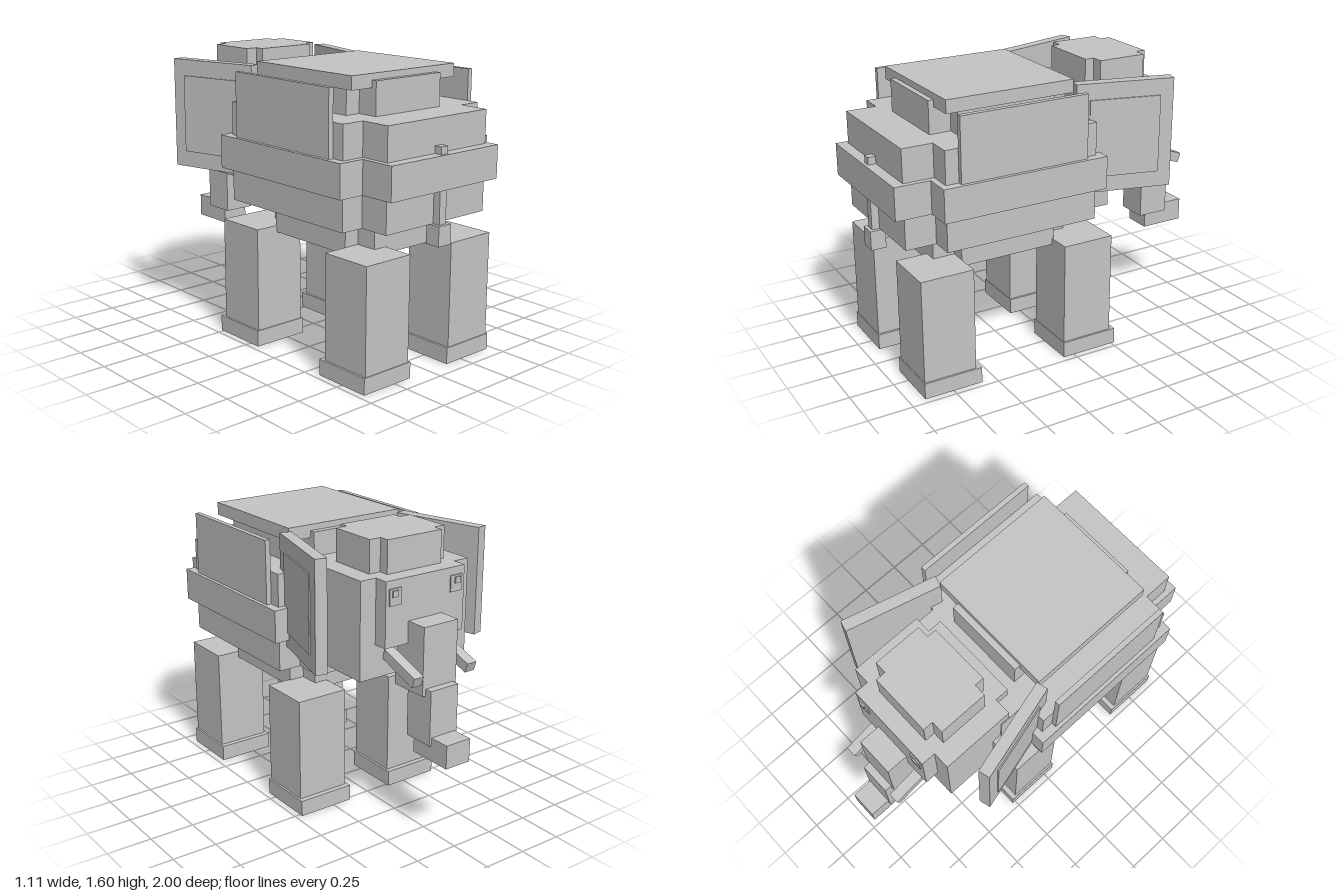
import * as THREE from 'three';

export function createModel() {
  const model = new THREE.Group();
  model.name = 'elephant';
  const grey = new THREE.MeshStandardMaterial({ color: 0xc4c4c4 });
  grey.name = 'grey';

  // box given by its ranges along each axis
  const block = (name, [x0, x1], [y0, y1], [z0, z1], parent = model) => {
    const mesh = new THREE.Mesh(new THREE.BoxGeometry(x1 - x0, y1 - y0, z1 - z0), grey);
    mesh.position.set((x0 + x1) / 2, (y0 + y1) / 2, (z0 + z1) / 2);
    mesh.name = name;
    parent.add(mesh);
    return mesh;
  };
  const centred = (name, halfWidth, y, z) => block(name, [-halfWidth, halfWidth], y, z);
  // two crossing boxes: a long narrow one and a short wide one
  const cross = (name, y, narrow, zLong, wide, zShort) => {
    centred(name + 'Long', narrow, y, zLong);
    centred(name + 'Wide', wide, y, zShort);
  };
  // box on one side (s = 1 left, -1 right)
  const sided = (name, s, [x0, x1], y, z, parent) =>
    block(name, s > 0 ? [x0, x1] : [-x1, -x0], y, z, parent);

  // body
  cross('body', [0.81, 1.35], 0.355, [-0.275, 0.94], 0.485, [-0.105, 0.77]);
  cross('girth', [0.99, 1.17], 0.385, [-0.33, 1.0], 0.533, [-0.145, 0.803]);
  cross('belly', [0.63, 0.81], 0.23, [-0.065, 0.733], 0.318, [0.05, 0.61]);

  // back hump and the slab on it
  centred('humpLong', 0.23, [1.35, 1.528], [-0.07, 0.73]);
  centred('humpWide', 0.318, [1.35, 1.5], [0.05, 0.61]);
  centred('backSlab', 0.367, [1.49, 1.562], [-0.035, 0.7]);

  // head and crown
  centred('headWide', 0.35, [0.89, 1.42], [-0.635, -0.22]);
  centred('headLong', 0.255, [1.07, 1.42], [-0.715, -0.14]);
  cross('crown', [1.42, 1.597], 0.175, [-0.622, -0.232], 0.243, [-0.565, -0.285]);

  // trunk
  centred('trunkTop', 0.11, [0.82, 1.19], [-0.84, -0.62]);
  centred('trunkMiddle', 0.09, [0.555, 0.858], [-0.882, -0.7]);
  centred('trunkTip', 0.078, [0.47, 0.6], [-1.0, -0.743]);

  // tail
  centred('tail', 0.024, [0.75, 1.21], [0.935, 0.982]);
  centred('tailTuft', 0.045, [0.703, 0.81], [0.915, 1.0]);

  for (const s of [1, -1]) {
    // legs and feet
    for (const [end, z] of [['front', -0.09], ['back', 0.76]]) {
      sided(end + 'Leg', s, [0.152, 0.454], [0, 0.667], [z - 0.15, z + 0.15]);
      sided(end + 'Foot', s, [0.139, 0.465], [0, 0.09], [z - 0.18, z + 0.155]);
    }

    // flank panel
    sided('flankPanel', s, [0.484, 0.513], [1.17, 1.52], [-0.035, 0.698]);

    // ear, hinged outwards, with a thin plate on its outer face
    const ear = new THREE.Group();
    ear.name = 'ear';
    ear.position.set(s * 0.455, 0, -0.29);
    ear.rotation.y = -s * 0.26;
    model.add(ear);
    sided('earFlap', s, [-0.032, 0.032], [0.942, 1.544], [-0.268, 0.268], ear);
    sided('earPlate', s, [0.03, 0.039], [1.03, 1.455], [-0.195, 0.195], ear);

    // tusk, sloping down towards its tip
    const tusk = sided('tusk', s, [0.145, 0.205], [0.942, 0.998], [-0.885, -0.632]);
    tusk.rotation.x = -0.34;

    // eye
    sided('eye', s, [0.16, 0.235], [1.29, 1.378], [-0.722, -0.714]);
    sided('pupil', s, [0.185, 0.22], [1.335, 1.368], [-0.73, -0.721]);
  }

  return model;
}
